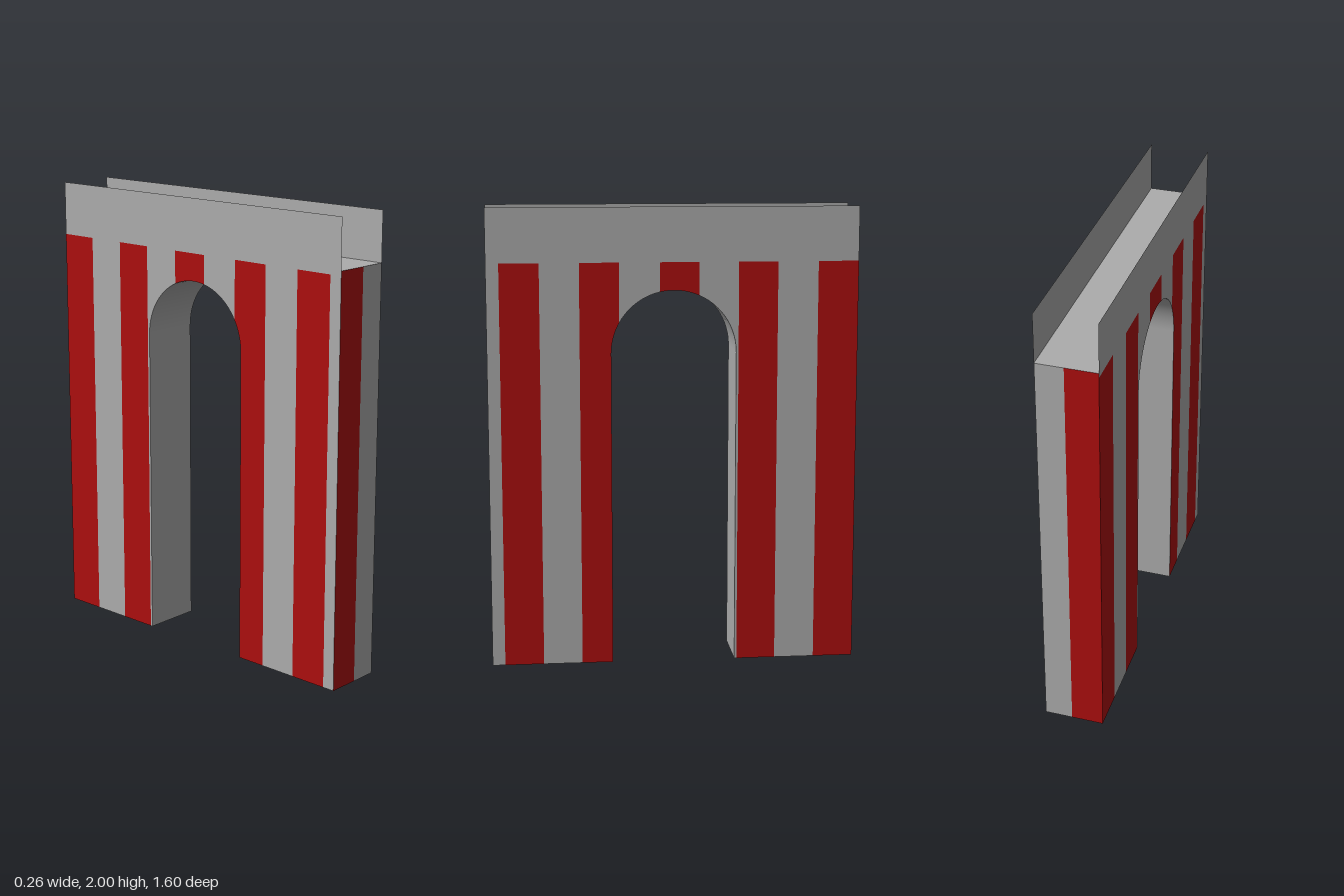
import * as THREE from 'three';

const W = 0.13, D = 0.8;                 // half thickness, half length
const TOP = 2, FLOOR = 1.785, BAND = 1.765; // parapet top, walkway, stripe top
const R = 0.27, SPRING = 1.375, SEG = 48;   // arch opening
const SPLIT = 0.01;                      // colour change on the end walls
const STRIPES = [[-0.8, -0.625], [-0.45, -0.28], [-0.11, 0.06], [0.235, 0.405], [0.575, 0.745]];

export function createModel() {
  const group = new THREE.Group();
  const stone = new THREE.MeshStandardMaterial({ color: 0xacacac, side: THREE.DoubleSide });
  stone.name = 'grey stone';
  const red = new THREE.MeshStandardMaterial({ color: 0xac0e0e, side: THREE.DoubleSide });
  red.name = 'red paint';

  const add = (name, geometry, material) => {
    const mesh = new THREE.Mesh(geometry, material);
    mesh.name = name;
    group.add(mesh);
    return mesh;
  };

  // Vertical strip of the long wall, its lower edge following the arch
  const archY = (z) => SPRING + Math.sqrt(Math.max(0, R * R - z * z));
  const strip = (z0, z1) => {
    const pts = [[z0, BAND]];
    if (z0 < -R || z0 >= R) pts.push([z0, 0]);
    if (z0 < -R && z1 > -R) pts.push([-R, 0]);
    if (z0 > -R && z0 < R) pts.push([z0, archY(z0)]);
    for (let i = 0; i <= SEG; i++) {
      const z = -R * Math.cos((Math.PI * i) / SEG);
      if (z > z0 + 1e-4 && z < z1 - 1e-4) pts.push([z, archY(z)]);
    }
    if (z1 > -R && z1 < R) pts.push([z1, archY(z1)]);
    if (z0 < R && z1 > R) pts.push([R, 0]);
    if (z1 <= -R || z1 > R) pts.push([z1, 0]);
    pts.push([z1, BAND]);
    return pts;
  };

  // Alternate grey and red strips along the wall
  const strips = [];
  let z = -D;
  for (const [a, b] of STRIPES) {
    if (a > z) strips.push([z, a, stone, 'wallStrip']);
    strips.push([a, b, red, 'redStripe']);
    z = b;
  }
  strips.push([z, D, stone, 'wallStrip']);

  // Both long walls, each with a thin parapet above
  for (const side of [1, -1]) {
    const wall = (name, pts, material) => {
      const shape = new THREE.Shape(pts.map(([pz, y]) => new THREE.Vector2(-side * pz, y)));
      const geometry = new THREE.ShapeGeometry(shape);
      geometry.rotateY((side * Math.PI) / 2);
      add(name, geometry, material).position.x = side * W;
    };
    for (const [a, b, material, name] of strips) wall(name, strip(a, b), material);
    wall('parapet', [[-D, BAND], [D, BAND], [D, TOP], [-D, TOP]], stone);
  }

  // End walls, red on one side and grey on the other
  for (const end of [1, -1]) {
    for (const [x0, x1, material, name] of [[-W, SPLIT, red, 'endStripe'], [SPLIT, W, stone, 'endWall']]) {
      const mesh = add(name, new THREE.PlaneGeometry(x1 - x0, FLOOR), material);
      mesh.position.set((x0 + x1) / 2, FLOOR / 2, end * D);
      if (end < 0) mesh.rotation.y = Math.PI;
    }
  }

  // Walkway between the parapets
  const walkway = add('walkway', new THREE.PlaneGeometry(2 * W, 2 * D).rotateX(-Math.PI / 2), stone);
  walkway.position.y = FLOOR;

  // Arch underside
  const vault = new THREE.CylinderGeometry(R, R, 2 * W, SEG, 1, true, 0, Math.PI);
  add('archVault', vault.rotateZ(Math.PI / 2), stone).position.y = SPRING;

  // Inner faces and undersides of the two legs
  for (const s of [1, -1]) {
    const jamb = add('archJamb', new THREE.PlaneGeometry(2 * W, SPRING), stone);
    jamb.position.set(0, SPRING / 2, s * R);
    if (s > 0) jamb.rotation.y = Math.PI;
    const foot = add('legBase', new THREE.PlaneGeometry(2 * W, D - R).rotateX(Math.PI / 2), stone);
    foot.position.z = (s * (D + R)) / 2;
  }

  return group;
}
